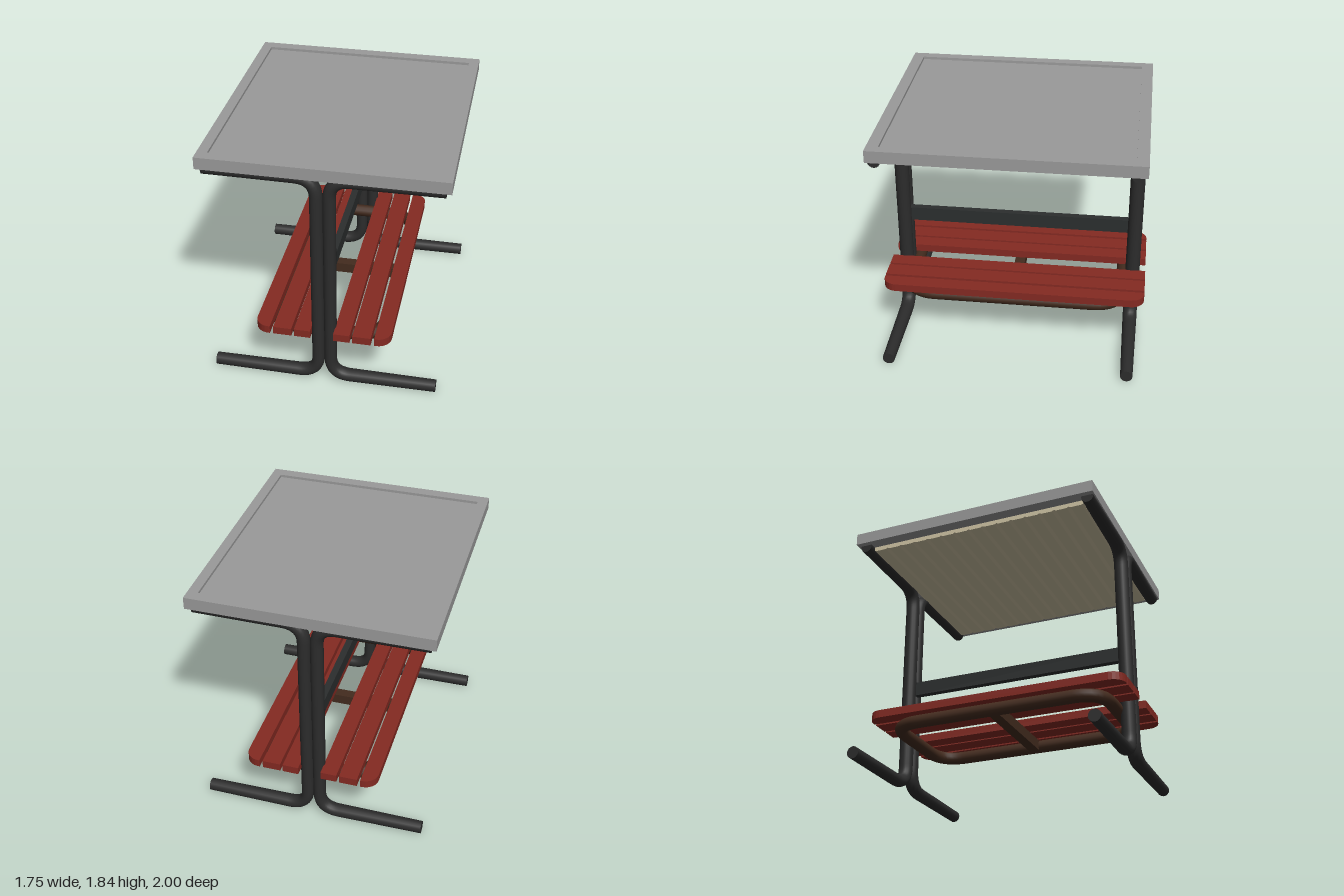
import * as THREE from 'three';

const material = (name, color, side = THREE.FrontSide) => {
  const m = new THREE.MeshStandardMaterial({ color, side });
  m.name = name;
  return m;
};

const v = (x, y, z) => new THREE.Vector3(x, y, z);

// Path through corner points, each inner corner rounded by its radius
function roundedPath(points, radius, closed = false) {
  const path = new THREE.CurvePath();
  const n = points.length;
  const toward = (a, b) => a.clone().add(b.clone().sub(a).setLength(radius));
  let cursor = closed ? points[0].clone().lerp(points[1], 0.5) : points[0];
  const end = closed ? cursor : points[n - 1];
  const corners = closed ? [...points.slice(1), points[0]] : points.slice(1, -1);
  corners.forEach((p, i) => {
    const next = closed ? points[(i + 2) % n] : points[i + 2];
    const a = toward(p, cursor), b = toward(p, next);
    path.add(new THREE.LineCurve3(cursor, a));
    path.add(new THREE.QuadraticBezierCurve3(a, p, b));
    cursor = b;
  });
  path.add(new THREE.LineCurve3(cursor, end));
  return path;
}

// Flat outline in x/z, extruded downward
function slab(points, depth, hole) {
  const shape = new THREE.Shape(points);
  if (hole) shape.holes.push(new THREE.Path(hole));
  return new THREE.ExtrudeGeometry(shape, { depth, bevelEnabled: false }).rotateX(Math.PI / 2);
}

const rect = (x, z) => [[-x, -z], [x, -z], [x, z], [-x, z]].map(p => new THREE.Vector2(...p));

export function createModel() {
  const model = new THREE.Group();
  model.name = 'picnicTable';
  const grey = material('grey top', 0x9a9a9a);
  const black = material('black steel', 0x2c2c2c);
  const beamBlack = material('dark beam', 0x2b2e2e);
  const red = material('red planks', 0x842a22);
  const brown = material('brown frame', 0x432b1e);
  const tan = material('tan boards', 0xd0c5a5);

  const add = (parent, name, geometry, mat, x = 0, y = 0, z = 0) => {
    const mesh = new THREE.Mesh(geometry, mat);
    mesh.name = name;
    mesh.position.set(x, y, z);
    parent.add(mesh);
    return mesh;
  };

  // Table top: raised rim around a slightly sunken panel
  add(model, 'topRim', slab(rect(0.875, 0.96), 0.09, rect(0.8, 0.875)), grey, 0, 1.835, -0.005);
  add(model, 'topPanel', new THREE.BoxGeometry(1.6, 0.07, 1.75), grey, 0, 1.78, -0.005);

  // Boards under the top, with chamfered lower edges
  const boards = new THREE.Group();
  boards.name = 'underBoards';
  model.add(boards);
  const count = 15, pitch = 1.71 / count, h = pitch / 2;
  const section = [[-h, 0.04], [-h, 0.008], [-h + 0.016, 0], [h - 0.016, 0], [h, 0.008], [h, 0.04]];
  const board = new THREE.ExtrudeGeometry(
    new THREE.Shape(section.map(p => new THREE.Vector2(...p))), { depth: 1.57, bevelEnabled: false });
  board.translate(0, 0, -0.785).rotateY(Math.PI / 2);
  for (let i = 0; i < count; i++) {
    add(boards, 'underBoard', board, tan, 0, 1.71, (i - (count - 1) / 2) * pitch);
  }

  // Bent tubes: foot, post and top arm in one; wider in z near the post
  const r = 0.046, reach = 0.835, postX = 0.046, topY = 1.735;
  for (const z of [-0.9, 0.9]) {
    for (const s of [-1, 1]) {
      const leg = new THREE.Group();
      leg.name = 'bentLeg';
      leg.position.z = z;
      model.add(leg);
      const path = roundedPath([v(s * reach, r, 0), v(s * postX, r, 0),
        v(s * postX, topY, 0), v(s * reach, topY, 0)], 0.15);
      const tube = new THREE.TubeGeometry(path, 120, r, 16);
      const pos = tube.attributes.position;
      for (let i = 0; i < pos.count; i++) {
        const t = THREE.MathUtils.clamp((Math.abs(pos.getX(i)) - 0.1) / (reach - 0.1), 0, 1);
        pos.setZ(i, pos.getZ(i) * THREE.MathUtils.lerp(1.2, 1, t));
      }
      add(leg, 'legTube', tube, black);
      for (const y of [r, topY]) {
        add(leg, 'tubeEnd', new THREE.CircleGeometry(r, 16).rotateY(s * Math.PI / 2), black, s * reach, y);
      }
    }
  }

  // Beam joining the two post pairs
  add(model, 'crossBeam', new THREE.BoxGeometry(0.05, 0.11, 1.72), beamBlack, 0, 0.855, 0);

  // Seat frame: rounded ring with a middle bar
  const fx = 0.42, fz = 0.825, fy = 0.39;
  const ring = roundedPath([v(-fx, fy, -fz), v(fx, fy, -fz), v(fx, fy, fz), v(-fx, fy, fz)], 0.22, true);
  add(model, 'seatFrame', new THREE.TubeGeometry(ring, 120, 0.049, 12, true), brown);
  add(model, 'seatFrameBar', new THREE.BoxGeometry(0.8, 0.08, 0.08), brown, 0, 0.39, 0);

  // Benches: three planks per side, the outer one with rounded corners
  for (const s of [-1, 1]) {
    const bench = new THREE.Group();
    bench.name = s > 0 ? 'leftBench' : 'rightBench';
    model.add(bench);
    for (const [x0, x1] of [[0.085, 0.205], [0.225, 0.36]]) {
      add(bench, 'benchPlank', new THREE.BoxGeometry(x1 - x0, 0.06, 2), red, s * (x0 + x1) / 2, 0.468, 0);
    }
    const outline = [new THREE.Vector2(s * 0.385, -1)];
    for (const e of [-1, 1]) {
      for (let i = 0; i <= 6; i++) {
        const a = (e < 0 ? 6 - i : i) / 6 * Math.PI / 2;
        outline.push(new THREE.Vector2(s * (0.4 + 0.1 * Math.cos(a)), e * (0.9 + 0.1 * Math.sin(a))));
      }
    }
    outline.push(new THREE.Vector2(s * 0.385, 1));
    add(bench, 'outerBenchPlank', slab(outline, 0.06), red, 0, 0.498, 0);
  }

  return model;
}
